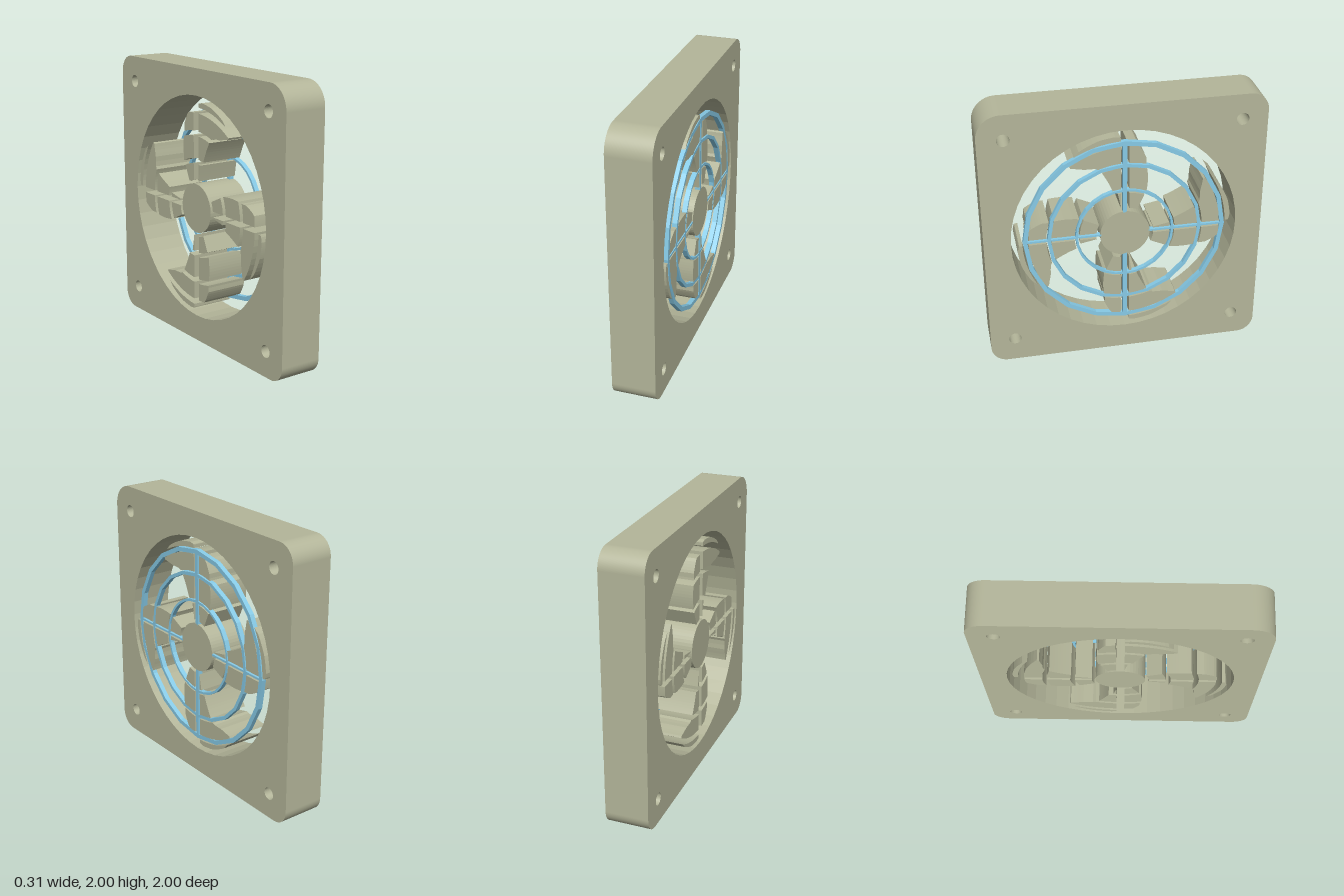
import * as THREE from 'three';

const OLIVE = new THREE.MeshStandardMaterial({ color: 0xb4b69a, flatShading: true });
const BLUE = new THREE.MeshStandardMaterial({ color: 0x87cbe7, flatShading: true });
const FRONT = 0.155, BACK = -0.16, GUARD_BACK = 0.12;

// blade outline: radius, leading angle, trailing angle (degrees from the blade axis)
const OUTLINE = [
  [0.20, 8, -25], [0.33, 9, -25], [0.36, 14, -25], [0.45, 16, -21], [0.53, 18, -17],
  [0.57, 20, -15], [0.61, 28, -14], [0.68, 35, -9], [0.73, 29, -3], [0.75, 25, 0], [0.768, 14, 5],
];

function outlineAt(r) {
  let i = 0;
  while (i < OUTLINE.length - 2 && r > OUTLINE[i + 1][0]) i++;
  const [a, b] = [OUTLINE[i], OUTLINE[i + 1]];
  const t = (r - a[0]) / (b[0] - a[0]);
  return [1, 2].map((k) => THREE.MathUtils.degToRad(THREE.MathUtils.lerp(a[k], b[k], t)));
}

function add(parent, name, geometry, material) {
  const mesh = new THREE.Mesh(geometry, material);
  mesh.name = name;
  parent.add(mesh);
  return mesh;
}

// extrudes a flat shape along x, between two depths
function slab(shape, back, front, curveSegments = 24) {
  const g = new THREE.ExtrudeGeometry(shape, { depth: front - back, bevelEnabled: false, curveSegments });
  return g.translate(0, 0, back).rotateY(Math.PI / 2);
}

// square housing with rounded corners, a round opening and four screw holes
function frameShape() {
  const s = new THREE.Shape();
  [[1, -1, 0.12], [1, 1, 0.13], [-1, 1, 0.17], [-1, -1, 0.12]].forEach(([x, y, c], i) => {
    const a = (i - 1) * Math.PI / 2;
    s.absarc(x * (1 - c), y * (1 - c), c, a, a + Math.PI / 2, false);
  });
  const hole = (x, y, r) => s.holes.push(new THREE.Path().absarc(x, y, r, 0, Math.PI * 2, true));
  hole(0, 0, 0.81);
  for (const x of [-0.82, 0.82]) for (const y of [-0.815, 0.815]) hole(x, y, 0.045);
  return s;
}

// part of a blade between two radii and on one side of the spoke
function bladeShape(r0, r1, side, gap) {
  const STEPS = 8;
  const point = (r, phi) => new THREE.Vector2(-r * Math.sin(phi), r * Math.cos(phi));
  const limits = (r) => {
    const [lead, trail] = outlineAt(r);
    const cut = Math.asin(gap / r);
    return side > 0 ? [Math.max(trail, cut), lead] : [trail, -cut];
  };
  const points = [];
  const arc = (r, from, to) => {
    for (let i = 1; i < STEPS; i++) points.push(point(r, from + (to - from) * i / STEPS));
  };
  const edge = (k, ra, rb) => {
    for (let i = 0; i <= STEPS; i++) {
      const r = ra + (rb - ra) * i / STEPS;
      points.push(point(r, limits(r)[k]));
    }
  };
  edge(0, r0, r1);
  arc(r1, ...limits(r1));
  edge(1, r1, r0);
  arc(r0, ...limits(r0).reverse());
  return new THREE.Shape(points);
}

// flat polygonal ring
function ringShape(r, width, sides) {
  const polygon = (radius) => Array.from({ length: sides }, (_, i) => {
    const a = i * Math.PI * 2 / sides;
    return new THREE.Vector2(radius * Math.cos(a), radius * Math.sin(a));
  });
  const s = new THREE.Shape(polygon(r + width / 2));
  s.holes.push(new THREE.Path(polygon(r - width / 2)));
  return s;
}

export function createModel() {
  const model = new THREE.Group();
  model.name = 'coolingFan';
  const fan = new THREE.Group();
  fan.name = 'fan';
  fan.position.y = 1;
  model.add(fan);

  add(fan, 'frame', slab(frameShape(), BACK, FRONT), OLIVE);

  // hub
  const hub = new THREE.Shape().absarc(0, 0, 0.178, 0, Math.PI * 2, false);
  add(fan, 'hub', slab(hub, BACK, FRONT), OLIVE);

  // four swept blades, each split around the guard's rings and spokes
  const bands = [[0.205, 0.325], [0.36, 0.525], [0.56, 0.688], [0.73, 0.768]];
  for (let n = 0; n < 4; n++) {
    const blade = new THREE.Group();
    blade.name = 'blade';
    blade.rotation.x = n * Math.PI / 2;
    fan.add(blade);
    const gap = n % 2 ? 0.02 : 0.03;
    bands.forEach(([r0, r1], i) => {
      add(blade, 'bladePiece', slab(bladeShape(r0, r1, 1, gap), BACK, FRONT), OLIVE);
      if (i < 3) add(blade, 'bladePiece', slab(bladeShape(r0, r1, -1, gap), BACK, FRONT), OLIVE);
    });
  }

  // wire guard: three flat rings and four spokes
  const guard = new THREE.Group();
  guard.name = 'guard';
  fan.add(guard);
  [[0.345, 0.017, 28], [0.542, 0.025, 20], [0.711, 0.032, 20]].forEach(([r, width, sides]) => {
    add(guard, 'guardRing', slab(ringShape(r, width, sides), GUARD_BACK, FRONT), BLUE);
  });
  for (let n = 0; n < 4; n++) {
    const spoke = new THREE.BoxGeometry(FRONT - GUARD_BACK, 0.53, n % 2 ? 0.014 : 0.03);
    spoke.translate((FRONT + GUARD_BACK) / 2, 0.435, 0);
    add(guard, 'guardSpoke', spoke, BLUE).rotation.x = n * Math.PI / 2;
  }
  return model;
}
